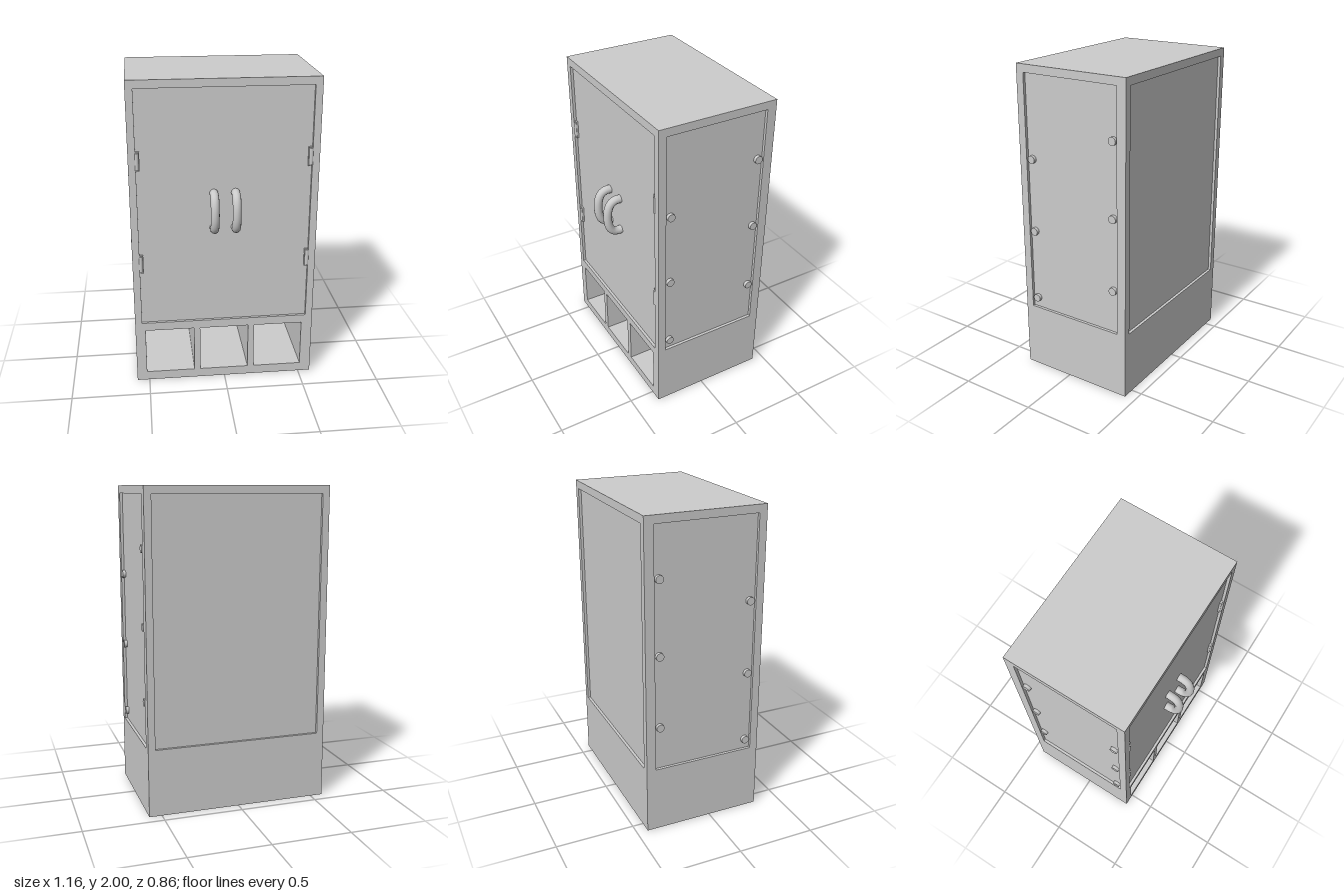
import * as THREE from 'three';

const W = 0.58, H = 2, ZB = -0.43, ZF = 0.335, T = 0.018; // half width, height, back, front, panel inset
const PY0 = 0.425, PY1 = 1.95;                            // panel bottom and top
const CUBBIES = [[-0.515, -0.2], [-0.16, 0.155], [0.195, 0.51]];

function rect(Type, x0, y0, x1, y1) {
  return new Type([[x0, y0], [x1, y0], [x1, y1], [x0, y1]].map(([x, y]) => new THREE.Vector2(x, y)));
}

// Rectangular plate with rectangular holes, thickness along +z
function plate(outer, holes, depth) {
  const shape = rect(THREE.Shape, ...outer);
  holes.forEach((h) => shape.holes.push(rect(THREE.Path, ...h)));
  return new THREE.ExtrudeGeometry(shape, { depth, bevelEnabled: false });
}

export function createModel() {
  const root = new THREE.Group();
  root.name = 'cabinet';
  const material = new THREE.MeshStandardMaterial({ color: 0xcccccc });
  const add = (name, geometry, x = 0, y = 0, z = 0) => {
    const mesh = new THREE.Mesh(geometry, material);
    mesh.name = name;
    mesh.position.set(x, y, z);
    root.add(mesh);
    return mesh;
  };

  const cubbyHoles = CUBBIES.map(([a, b]) => [a, 0.06, b, 0.37]);
  const panelHole = [-0.535, PY0, 0.535, PY1];
  const innerDepth = ZF - ZB - 2 * T, midZ = (ZF + ZB) / 2;

  // Core whose faces form the recessed doors and panels
  add('cabinetBody', new THREE.BoxGeometry(2 * (W - T), H - 0.4, innerDepth), 0, (H + 0.4) / 2, midZ);
  // Base with three deep open cubbies
  add('cubbyBase', plate([-W + T, 0, W - T, 0.4], cubbyHoles, innerDepth), 0, 0, ZB + T);
  // Raised frames around the recessed panels
  add('frontFrame', plate([-W, 0, W, H], [panelHole, ...cubbyHoles], T), 0, 0, ZF - T);
  add('backFrame', plate([-W, 0, W, H], [panelHole], T), 0, 0, ZB);
  for (const s of [-1, 1]) {
    const side = s > 0 ? 'left' : 'right';
    const geometry = plate([-ZF + T, 0, -ZB - T, H], [[-0.285, PY0, 0.37, PY1]], T);
    geometry.rotateY(Math.PI / 2);
    add(side + 'SideFrame', geometry, s > 0 ? W - T : -W);

    // Bolts in two staggered columns
    for (const [z, ys] of [[0.25, [1.425, 0.955, 0.49]], [-0.337, [1.635, 1.168, 0.705]]]) {
      for (const y of ys) {
        const bolt = add(side + 'Bolt', new THREE.CylinderGeometry(0.025, 0.025, 0.04, 20), s * (W - 0.018), y, z);
        bolt.rotation.z = Math.PI / 2;
      }
    }

    // Hinges: a knuckle with a small leaf on the door
    for (const y of [0.84, 1.512]) {
      add(side + 'HingePin', new THREE.CylinderGeometry(0.015, 0.015, 0.105, 8), s * 0.528, y, ZF - 0.011);
      add(side + 'HingeLeaf', new THREE.BoxGeometry(0.022, 0.12, 0.014), s * 0.522, y, ZF - T + 0.005);
    }

    // C-shaped pull handle
    const points = [[1.293, 0.305], [1.293, 0.35], [1.275, 0.382], [1.225, 0.403],
      [1.135, 0.403], [1.085, 0.382], [1.067, 0.35], [1.067, 0.305]];
    const path = new THREE.CatmullRomCurve3(points.map(([y, z]) => new THREE.Vector3(0, y, z)));
    add(side + 'Handle', new THREE.TubeGeometry(path, 24, 0.027, 12), s * 0.067);
  }
  return root;
}
